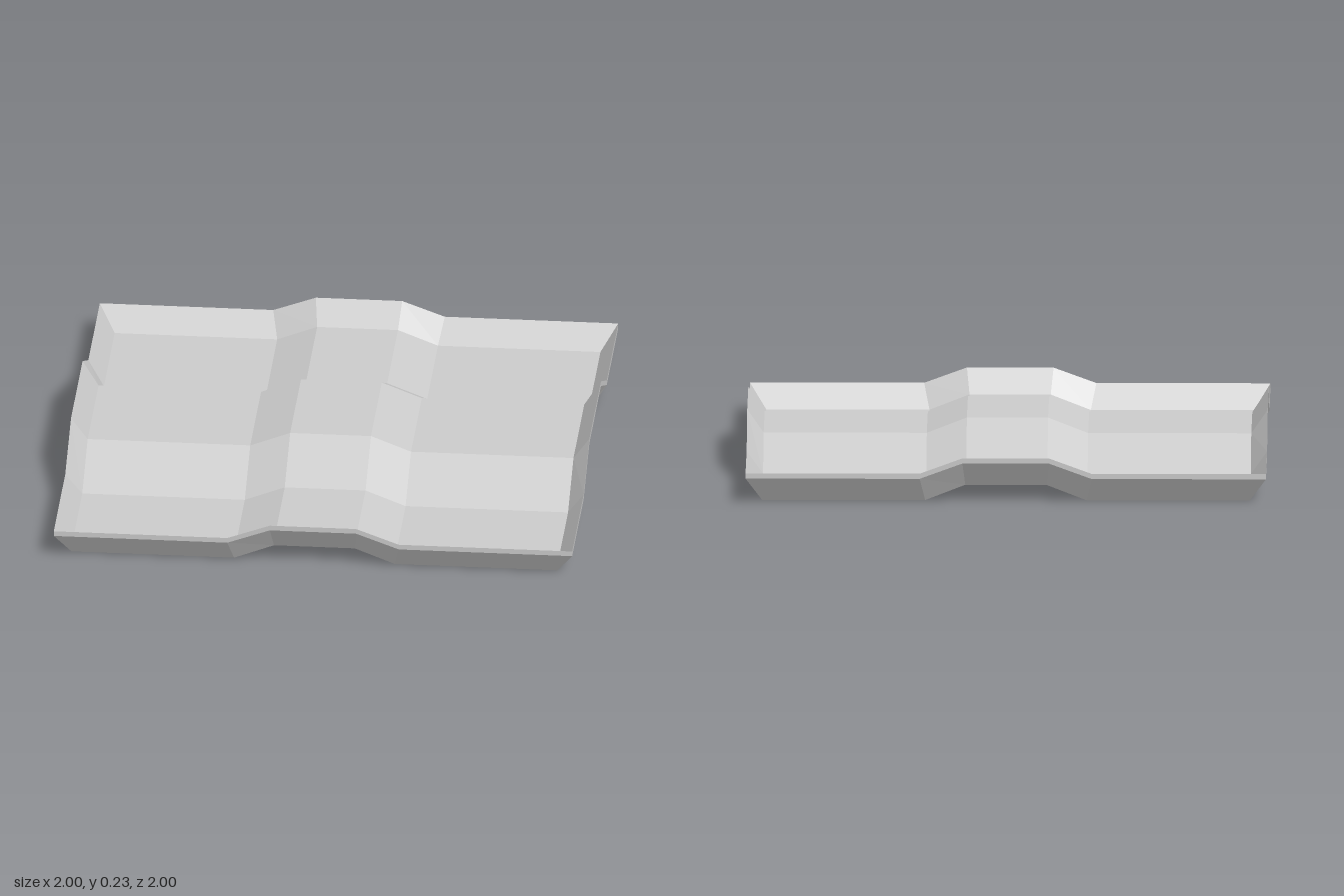
import * as THREE from 'three';

const INNER = 0.937;      // half width of the floor; the rim flares out to 1
const RIM = 0.094;        // rim height
const THICK = 0.02;       // sheet thickness
const RIDGE_X = { top: 0.156, foot: 0.31, height: 0.06 };
const RIDGE_Z = { top: 0.235, foot: 0.47, height: 0.118 };

const breaks = (r) => [-INNER, -r.foot, -r.top, r.top, r.foot, INNER];
const XS = breaks(RIDGE_X), ZS = breaks(RIDGE_Z);
const LAST = XS.length + 1;   // grid index of the outer rim

const ridge = (r, v) => (Math.abs(v) < r.top + 0.01 ? r.height : 0);

// Grid point: floor inside, flared rim on the border
function point(i, j, lift) {
  const clamp = (k) => Math.min(Math.max(k, 1), LAST - 1) - 1;
  const x = XS[clamp(i)], z = ZS[clamp(j)];
  const border = i === 0 || j === 0 || i === LAST || j === LAST;
  const s = border ? 1 / INNER : 1;
  const y = ridge(RIDGE_X, x) + ridge(RIDGE_Z, z) + (border ? RIM : 0) + lift;
  return [x * s, y, z * s];
}

function quadMesh(name, quads) {
  const pos = quads.flatMap(([a, b, c, d]) => [a, b, c, a, c, d].flat());
  const geo = new THREE.BufferGeometry();
  geo.setAttribute('position', new THREE.Float32BufferAttribute(pos, 3));
  geo.computeVertexNormals();
  const mesh = new THREE.Mesh(geo, new THREE.MeshStandardMaterial({ color: 0xcccccc, flatShading: true }));
  mesh.name = name;
  return mesh;
}

// One face of the folded sheet; the four rim corners meet in a mitre, so have no cell
function sheet(lift, up) {
  const quads = [];
  const edge = (k) => k === 0 || k === LAST - 1;
  for (let i = 0; i < LAST; i++) {
    for (let j = 0; j < LAST; j++) {
      if (edge(i) && edge(j)) continue;
      const q = [point(i, j, lift), point(i, j + 1, lift), point(i + 1, j + 1, lift), point(i + 1, j, lift)];
      quads.push(up ? q : q.reverse());
    }
  }
  return quads;
}

// Upright band closing the sheet around the rim
function rimBand() {
  const quads = [];
  const add = (a, b) => quads.push([point(...a, 0), point(...b, 0), point(...b, THICK), point(...a, THICK)]);
  for (let k = 1; k < LAST - 1; k++) {
    add([k, LAST], [k + 1, LAST]);
    add([k + 1, 0], [k, 0]);
    add([LAST, k + 1], [LAST, k]);
    add([0, k], [0, k + 1]);
  }
  return quads;
}

export function createModel() {
  const group = new THREE.Group();
  group.name = 'ridgedTray';
  group.add(
    quadMesh('trayTop', sheet(THICK, true)),
    quadMesh('trayUnderside', sheet(0, false)),
    quadMesh('rimEdge', rimBand()),
  );
  return group;
}
